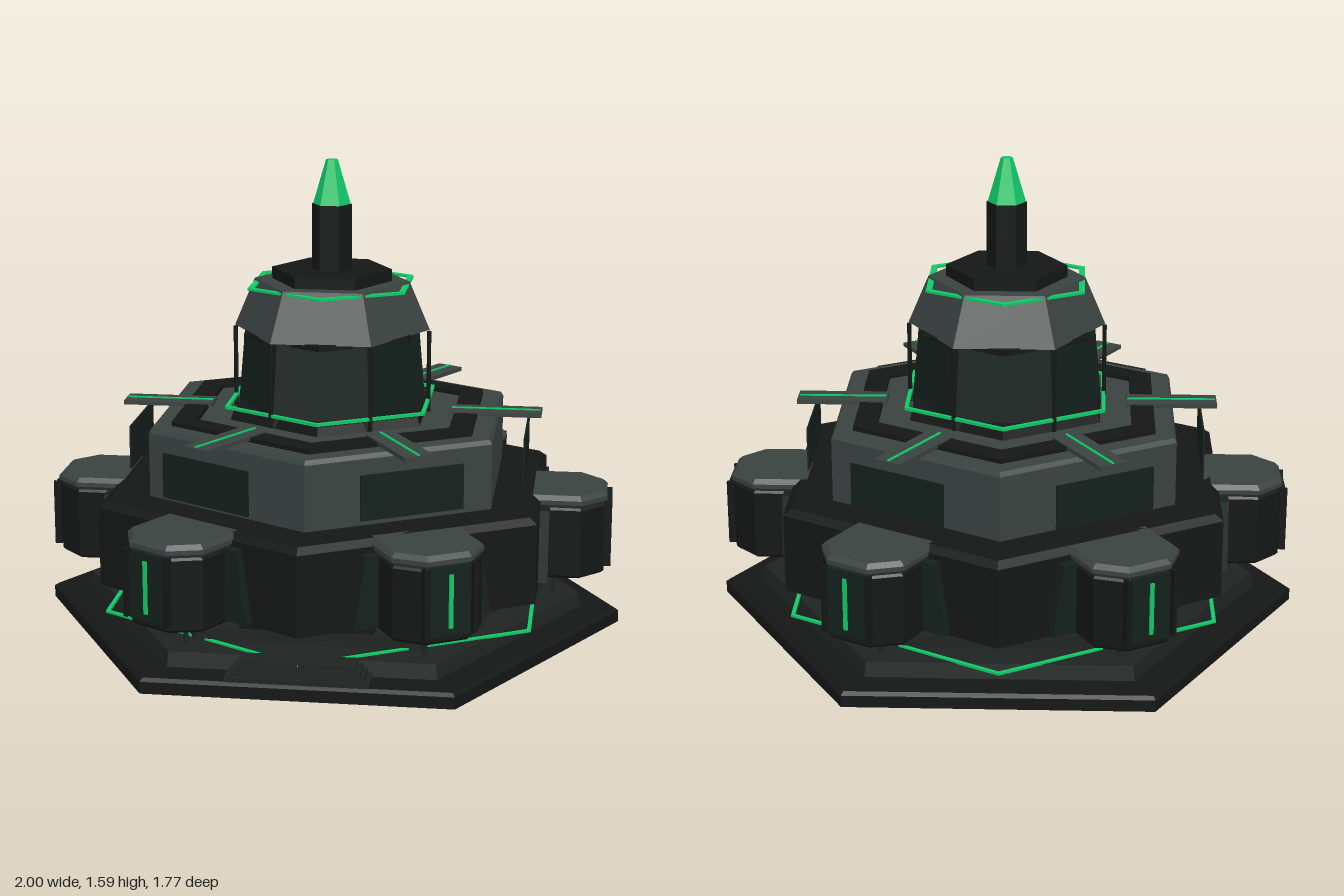
import * as THREE from 'three';

const mat = (color) => new THREE.MeshStandardMaterial({ color, flatShading: true, side: THREE.DoubleSide });

export function createModel() {
  const root = new THREE.Group();
  const dark = mat(0x141716), mid = mat(0x1e2422), grey = mat(0x3a4240), panel = mat(0x14201c), green = mat(0x10c868);

  const add = (name, geo, material, parent = root) => {
    const m = new THREE.Mesh(geo, material);
    m.name = name;
    parent.add(m);
    return m;
  };
  const box = (name, w, h, d, x, y, z, material, parent) =>
    add(name, new THREE.BoxGeometry(w, h, d).translate(x, y, z), material, parent);

  // Six-sided prism or frustum; corners point along x, or along z when turned
  const hex = (name, rBottom, rTop, y0, y1, material, alongZ = false) =>
    add(name, new THREE.CylinderGeometry(rTop, rBottom, y1 - y0, 6)
      .rotateY(alongZ ? 0 : Math.PI / 6).translate(0, (y0 + y1) / 2, 0), material);

  const hexPath = (path, r) => {
    for (let i = 0; i < 6; i++) {
      const a = i * Math.PI / 3 + Math.PI / 6;
      path[i ? 'lineTo' : 'moveTo'](r * Math.cos(a), r * Math.sin(a));
    }
    path.closePath();
    return path;
  };
  // Flat hexagonal ring with corners along z
  const ring = (name, rOut, rIn, y, h, material) => {
    const s = hexPath(new THREE.Shape(), rOut);
    s.holes.push(hexPath(new THREE.Path(), rIn));
    add(name, new THREE.ExtrudeGeometry(s, { depth: h, bevelEnabled: false })
      .rotateX(-Math.PI / 2).translate(0, y, 0), material);
  };
  // Six copies around the axis, each built facing +x
  const around = (name, build) => {
    for (let i = 0; i < 6; i++) {
      const g = new THREE.Group();
      g.name = name;
      g.rotation.y = -i * Math.PI / 3;
      build(g);
      root.add(g);
    }
  };

  // Stepped foundation
  hex('basePlate', 1, 1, 0, 0.04, dark);
  hex('basePlateEdge', 1, 0.985, 0.04, 0.05, dark);
  hex('secondStep', 0.87, 0.86, 0.05, 0.1, mid);
  hex('thirdStep', 0.73, 0.73, 0.1, 0.145, mid);
  hex('plinth', 0.53, 0.53, 0.145, 0.2, dark);
  ring('floorLight', 0.825, 0.81, 0.098, 0.008, green);

  // Main hull and upper tier
  hex('hull', 0.84, 0.84, 0.2, 0.47, dark, true);
  hex('hullRim', 0.84, 0.81, 0.47, 0.49, dark, true);
  hex('upperTier', 0.66, 0.66, 0.49, 0.71, grey, true);
  hex('upperTierEdge', 0.66, 0.65, 0.71, 0.725, grey, true);
  ring('roofBand', 0.58, 0.49, 0.725, 0.015, dark);

  // Tower
  hex('towerCollar', 0.37, 0.36, 0.725, 0.755, dark, true);
  ring('collarLight', 0.39, 0.375, 0.765, 0.01, green);
  hex('tower', 0.325, 0.3, 0.725, 1.01, panel);
  ring('towerBand', 0.32, 0.27, 1.0, 0.018, dark);
  hex('towerHood', 0.335, 0.265, 1.015, 1.18, grey);
  ring('hoodLight', 0.305, 0.282, 1.165, 0.008, green);
  hex('capPlate', 0.205, 0.205, 1.18, 1.22, dark);
  hex('mast', 0.068, 0.068, 1.22, 1.44, dark);
  hex('beacon', 0.064, 0.02, 1.44, 1.59, green);

  // Outline of a pod seen from above
  const podShape = new THREE.Shape([
    [0.68, -0.145], [0.86, -0.145], [0.935, -0.07], [0.935, 0.07], [0.86, 0.145], [0.68, 0.145],
  ].map(([x, z]) => new THREE.Vector2(x, z)));
  const podLayer = (y0, y1, bevel) => new THREE.ExtrudeGeometry(podShape, {
    depth: y1 - y0 - 2 * bevel, bevelThickness: bevel, bevelSize: bevel, bevelSegments: 1,
  }).rotateX(Math.PI / 2).translate(0, y1 - bevel, 0);

  around('pod', (g) => {
    add('podBody', podLayer(0.2, 0.45, 0.01), dark, g);
    add('podCap', podLayer(0.445, 0.49, 0.015), grey, g);
    box('podFrontPlate', 0.012, 0.225, 0.14, 0.955, 0.343, 0, panel, g);
    box('podLight', 0.008, 0.175, 0.014, 0.963, 0.343, 0, green, g);
    for (const s of [-1, 1]) {
      box('podFin', 0.025, 0.225, 0.014, 0.955, 0.343, s * 0.085, dark, g);
      // Tapered side panel against the hull
      const wing = new THREE.Shape([
        [0.1, 0.21], [0.24, 0.21], [0.2, 0.45], [0.1, 0.45],
      ].map(([z, y]) => new THREE.Vector2(s * z, y)));
      add('podSidePanel', new THREE.ExtrudeGeometry(wing, { depth: 0.035, bevelEnabled: false })
        .rotateY(Math.PI / 2).translate(0.725, 0, 0), panel, g);
    }
  });

  // Floating tier panels, roof arms, tower posts and floor bollards
  around('tierPanel', (g) => box('panelSheet', 0.006, 0.15, 0.36, 0.67, 0.613, 0, panel, g));
  around('roofArm', (g) => {
    box('armPlate', 0.31, 0.014, 0.1, 0.565, 0.738, 0, grey, g);
    box('armLight', 0.3, 0.004, 0.008, 0.565, 0.747, 0, green, g);
  });
  around('towerPost', (g) =>
    add('post', new THREE.CylinderGeometry(0.008, 0.008, 0.28, 6).translate(0.333, 0.87, 0), dark, g));
  around('bollard', (g) =>
    add('bollardPost', new THREE.CylinderGeometry(0.008, 0.01, 0.09, 6).translate(0.775, 0.138, 0), mid, g));

  // Entrance steps and doorway on the front
  for (let i = 0; i < 4; i++)
    box('entranceStep', 0.46 - i * 0.03, 0.014, 0.12 - i * 0.012, 0, 0.058 + i * 0.014, 0.8 - i * 0.006, mid);
  box('doorway', 0.44, 0.06, 0.05, 0, 0.17, 0.605, dark);

  // Vent slats beside the right-hand pod
  for (let i = 0; i < 4; i++) box('ventSlat', 0.015, 0.2, 0.012, 0.732, 0.34, -0.28 - i * 0.03, mid);

  return root;
}
